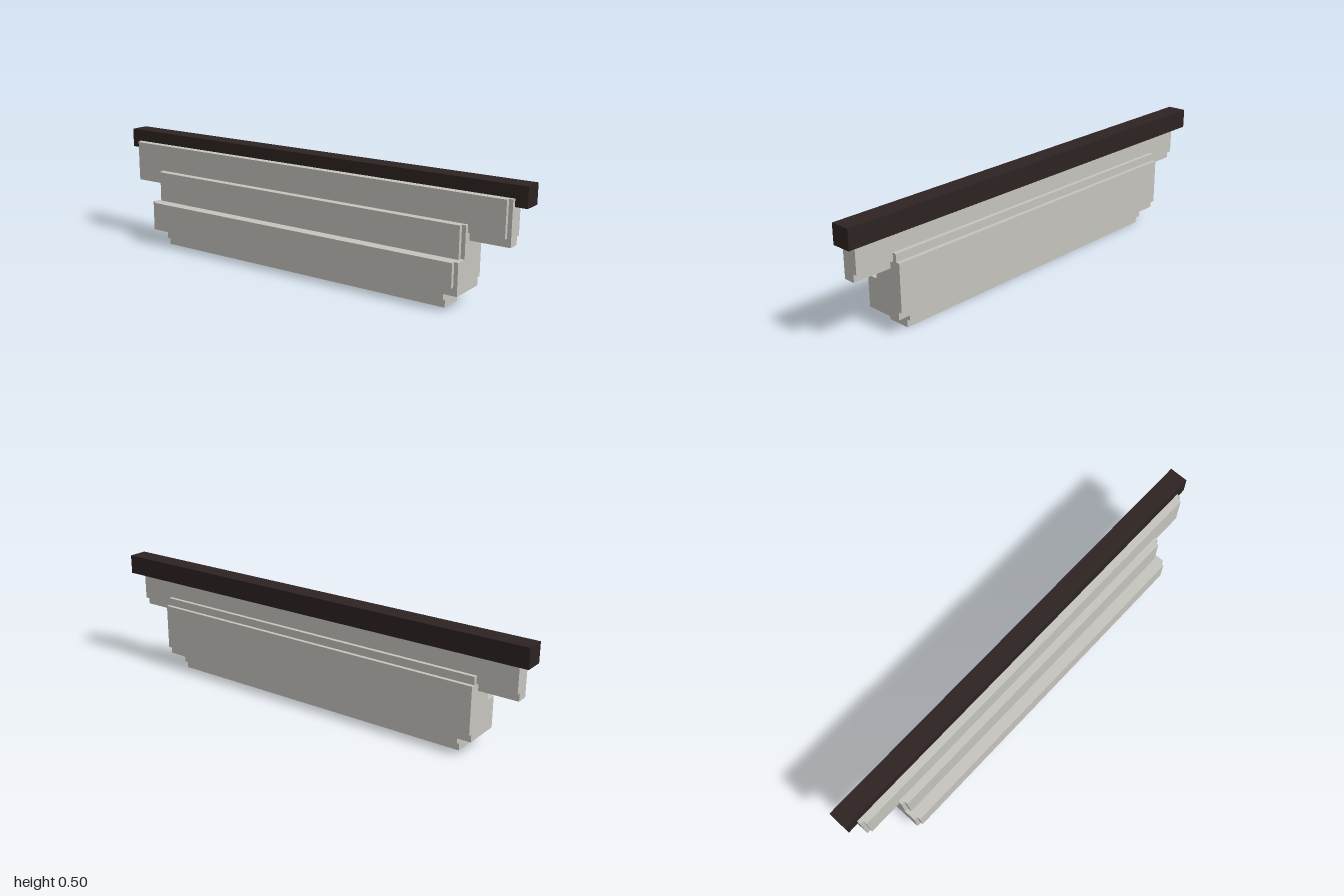
import * as THREE from 'three';

const U = 1 / 60; // module all step sizes are multiples of

export function createModel() {
  const group = new THREE.Group();
  const stone = new THREE.MeshStandardMaterial({ color: 0xc6c4be });
  stone.name = 'pale stone';
  const dark = new THREE.MeshStandardMaterial({ color: 0x2d2322 });
  dark.name = 'dark brown';

  // Extrude an x/y outline (in modules) symmetrically along z
  function bar(name, outline, halfLength, material = stone) {
    const shape = new THREE.Shape(outline.map(([x, y]) => new THREE.Vector2(x * U, y * U)));
    const geometry = new THREE.ExtrudeGeometry(shape, { depth: halfLength * 2 * U, bevelEnabled: false });
    geometry.translate(0, 0, -halfLength * U);
    const mesh = new THREE.Mesh(geometry, material);
    mesh.name = name;
    group.add(mesh);
  }
  const rect = (x0, x1, y0, y1) => [[x0, y0], [x1, y0], [x1, y1], [x0, y1]];

  // Stepped foot
  bar('foot', [[-3, 0], [3, 0], [3, 2], [4, 2], [4, 4], [-4, 4], [-4, 2], [-3, 2]], 43);

  // Main body with slightly shorter facing strips
  bar('body', [[-5, 4], [5, 4], [5, 6], [6, 6], [6, 18], [5, 18], [5, 20],
    [-2, 20], [-2, 12], [-5, 12]], 47);
  bar('lowerFacing', rect(-6, -5, 6, 12), 46);
  bar('middleFacing', rect(-3, -2, 12, 20), 46);

  // Upper body and its facing strip
  bar('upperBody', [[0, 16], [3, 16], [3, 18], [4, 18], [4, 27], [0, 27]], 57);
  bar('upperFacing', rect(-1, 0, 18, 27), 56);

  // Dark top rail
  bar('topRail', rect(1, 6, 25.1, 30.1), 60, dark);

  return group;
}
